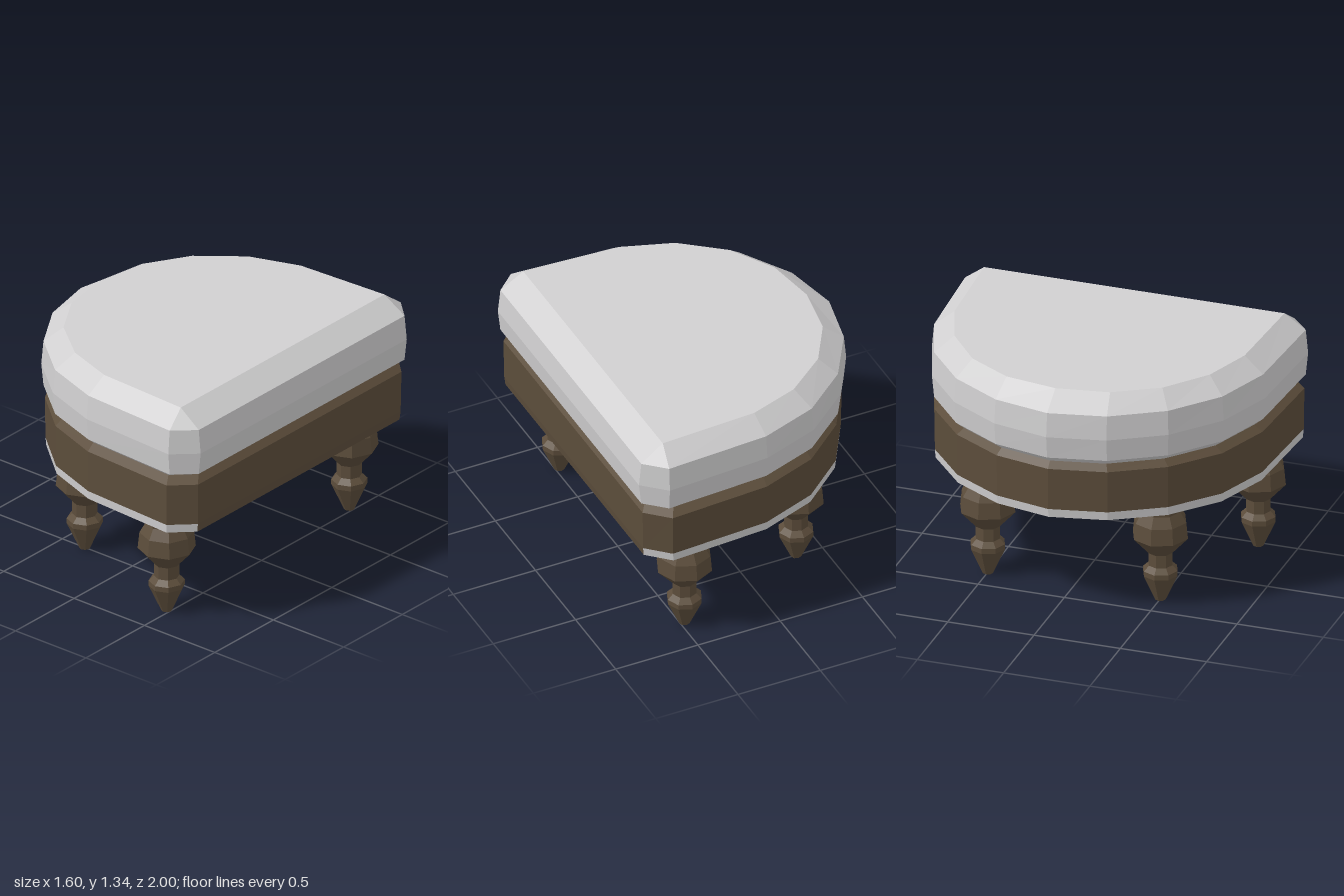
import * as THREE from 'three';

// Half outlines (x, z) of the D shape, from the flat side round to the curved nose
const OUTER = [[0.8, 0.88], [0.67, 1], [0.06, 0.965], [-0.28, 0.845], [-0.55, 0.62], [-0.73, 0.325], [-0.8, 0]];
const INNER = [[0.65, 0.87], [0.65, 0.87], [0.08, 0.84], [-0.21, 0.74], [-0.45, 0.55], [-0.6, 0.3], [-0.65, 0]];
const FLAT_EDGE = 12;

const mirrorOutline = (half) => [...half, ...half.slice(0, -1).reverse().map(([x, z]) => [x, -z])];

// Closed ring at height y, blended from the outer to the inner outline
function blendRing(y, t) {
  const half = OUTER.map(([x, z], i) => [x + (INNER[i][0] - x) * t, z + (INNER[i][1] - z) * t]);
  return mirrorOutline(half).map(([x, z]) => new THREE.Vector3(x, y, z));
}

// Closed ring at height y, scaled from the outer outline
const scaleRing = (y, sx, sz) => mirrorOutline(OUTER).map(([x, z]) => new THREE.Vector3(x * sx, y, z * sz));

// Joins rings from bottom to top, with optional caps and edge selection
function loft(rings, { bottom = false, top = false, useEdge = () => true } = {}) {
  const points = [];
  const tri = (a, b, c) => {
    const area = b.clone().sub(a).cross(c.clone().sub(a)).length();
    if (area > 1e-7) points.push(a, b, c);
  };
  for (let r = 0; r < rings.length - 1; r++) {
    const lo = rings[r], hi = rings[r + 1], n = lo.length;
    for (let i = 0; i < n; i++) {
      if (!useEdge(i)) continue;
      const j = (i + 1) % n;
      tri(lo[j], lo[i], hi[i]);
      tri(lo[j], hi[i], hi[j]);
    }
  }
  const first = rings[0], last = rings[rings.length - 1];
  for (let i = 1; i < first.length - 1; i++) {
    if (bottom) tri(first[0], first[i], first[i + 1]);
    if (top) tri(last[0], last[i + 1], last[i]);
  }
  const geometry = new THREE.BufferGeometry().setFromPoints(points);
  geometry.computeVertexNormals();
  return geometry;
}

export function createModel() {
  const fabric = new THREE.MeshStandardMaterial({ name: 'pale fabric', color: 0xd0cfd0, flatShading: true });
  const wood = new THREE.MeshStandardMaterial({ name: 'dark wood', color: 0x5c4d3b, flatShading: true });
  const model = new THREE.Group();
  model.name = 'stool';

  const add = (name, geometry, material) => {
    const mesh = new THREE.Mesh(geometry, material);
    mesh.name = name;
    model.add(mesh);
    return mesh;
  };

  // Bevelled seat cushion
  add('cushion', loft([
    scaleRing(0.94, 0.92, 0.935), blendRing(0.98, 0.1), blendRing(1.11, 0), blendRing(1.25, 0.1), blendRing(1.34, 1),
  ], { top: true }), fabric);

  // Wooden frame with a chamfered upper lip
  const trimTop = scaleRing(0.66, 0.96, 0.984), trimBottom = scaleRing(0.61, 0.953, 0.98);
  add('frame', loft([trimTop, scaleRing(0.905, 0.965, 0.987), scaleRing(0.94, 0.92, 0.935)]), wood);

  // Pale lower trim and underside; the frame runs down over it on the flat side
  add('trim', loft([trimBottom, trimTop], { bottom: true, useEdge: (i) => i !== FLAT_EDGE }), fabric);
  add('flatSideRail', loft([trimBottom, trimTop], { useEdge: (i) => i === FLAT_EDGE }), wood);

  // Turned legs, eight-sided
  const profile = [
    [0, 0], [0.03, 0], [0.1, 0.155], [0.1, 0.185], [0.07, 0.215], [0.07, 0.29],
    [0.16, 0.39], [0.15, 0.485], [0.115, 0.545], [0.115, 0.615],
  ].map(([r, y]) => new THREE.Vector2(r, y));
  const legGeometry = new THREE.LatheGeometry(profile, 8);
  for (const [x, z] of [[0.475, 0.78], [-0.34, 0.5]]) {
    for (const side of [1, -1]) {
      add('leg', legGeometry, wood).position.set(x, 0, z * side);
    }
  }
  return model;
}
